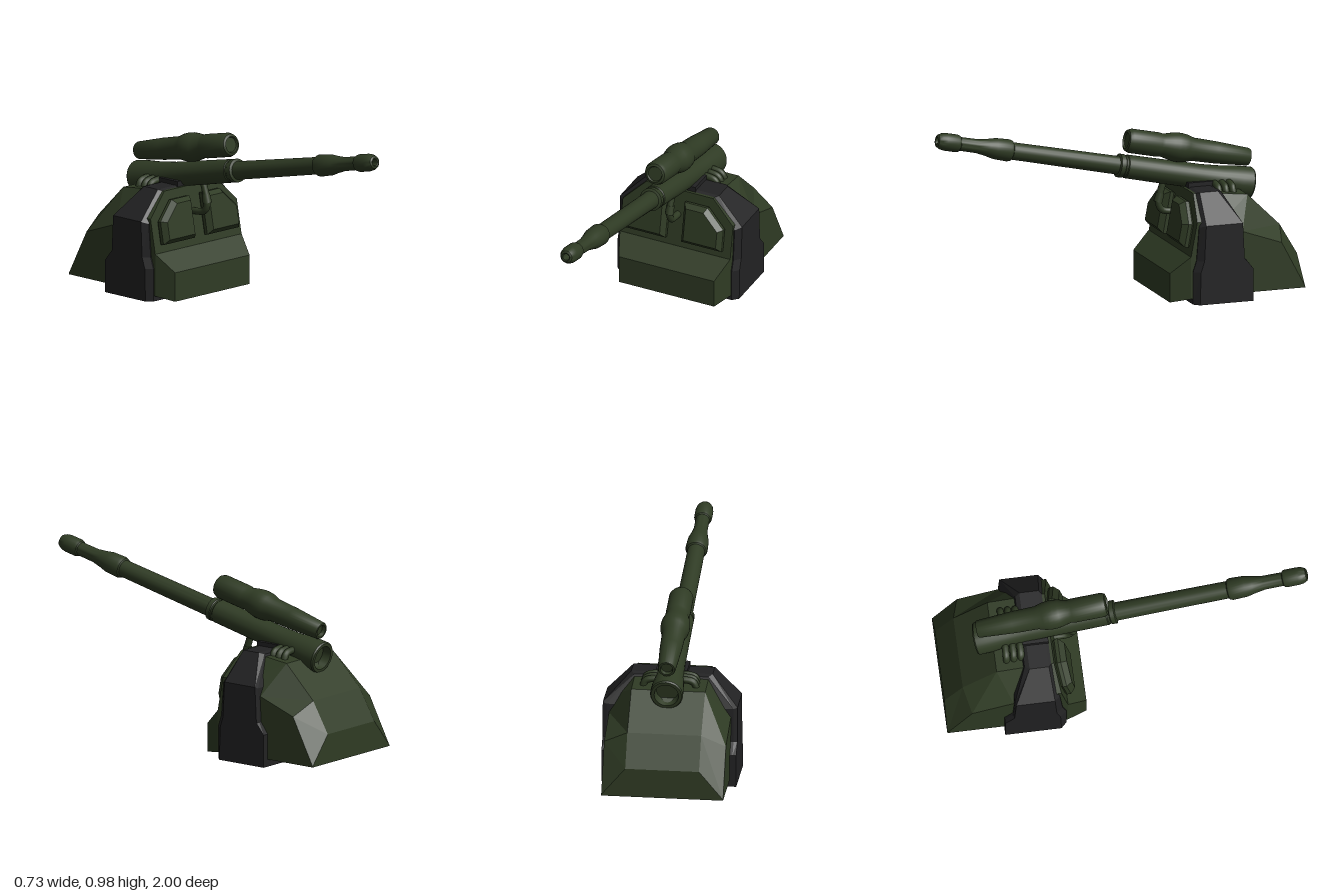
import * as THREE from 'three';
import { toCreasedNormals } from 'three/addons/utils/BufferGeometryUtils.js';

const green = new THREE.MeshStandardMaterial({ color: 0x2f3b24 });
const greenFlat = new THREE.MeshStandardMaterial({ color: 0x2f3b24, flatShading: true });
const dark = new THREE.MeshStandardMaterial({ color: 0x222223, flatShading: true });

// Armour hull: each ring lists [x, y, z] for the +x half from bottom to top and
// is mirrored to -x; rings run from front to back and both ends are capped.
function hull(name, rings, material) {
  const pos = [];
  const quad = (a, b, c, d) => pos.push(...a, ...b, ...c, ...a, ...c, ...d);
  const loops = rings.map(h => [...h, ...h.map(([x, y, z]) => [-x, y, z]).reverse()]);
  const n = loops[0].length;
  for (let r = 0; r < loops.length - 1; r++) {
    const a = loops[r], b = loops[r + 1];
    for (let i = 0; i < n; i++) {
      const j = (i + 1) % n;
      quad(a[i], b[i], b[j], a[j]);
    }
  }
  const f = loops[0], k = loops[loops.length - 1];
  for (let i = 0; i < n / 2 - 1; i++) {
    quad(f[i], f[i + 1], f[n - 2 - i], f[n - 1 - i]);
    quad(k[n - 1 - i], k[n - 2 - i], k[i + 1], k[i]);
  }
  const g = new THREE.BufferGeometry();
  g.setAttribute('position', new THREE.Float32BufferAttribute(pos, 3));
  g.computeVertexNormals();
  return mesh(name, g, material);
}

function mesh(name, geometry, material) {
  const m = new THREE.Mesh(geometry, material);
  m.name = name;
  return m;
}

// Turned part from [radius, distance along the axis] pairs
function turned(name, profile) {
  const g = new THREE.LatheGeometry(profile.map(p => new THREE.Vector2(...p)), 28);
  return mesh(name, toCreasedNormals(g, 0.6), green);
}

function pipe(name, points, radius) {
  const curve = new THREE.CatmullRomCurve3(points.map(p => new THREE.Vector3(...p)));
  return mesh(name, new THREE.TubeGeometry(curve, 20, radius, 12), green);
}

export function createModel() {
  const model = new THREE.Group();
  model.name = 'gunTurret';

  // Sloping front bumper
  model.add(hull('bumper', [
    [[0.285, 0.01, -0.24], [0.285, 0.17, -0.24]],
    [[0.33, 0.03, -0.345], [0.33, 0.262, -0.345]],
    [[0.33, 0.03, -0.42], [0.33, 0.262, -0.42]],
  ], greenFlat));

  // Leaning front plate with clipped upper corners
  model.add(hull('frontPlate', [
    [[0.33, 0.26, -0.345], [0.33, 0.45, -0.381], [0.2, 0.58, -0.405]],
    [[0.33, 0.26, -0.46], [0.33, 0.45, -0.46], [0.2, 0.58, -0.46]],
  ], greenFlat));

  // Raised bevelled panels on the front plate
  const outline = new THREE.Shape([
    [0.07, 0.07], [0.265, 0.07], [0.265, 0.165], [0.175, 0.255], [0.07, 0.255],
  ].map(p => new THREE.Vector2(...p)));
  for (const side of [1, -1]) {
    const panel = mesh('frontPanel', new THREE.ExtrudeGeometry(outline, {
      depth: 0.02, bevelSize: 0.023, bevelThickness: 0.03, bevelSegments: 1,
    }), greenFlat);
    panel.position.set(0, 0.26, -0.335);
    panel.rotation.x = -0.185;
    panel.scale.x = side;
    model.add(panel);
  }

  // Dark band wrapping the middle
  const band = (inset, zs) => [
    [0.365, 0], [0.365, 0.18], [0.365, 0.24], [0.365, 0.435], [0.22, 0.587],
  ].map(([x, y], i) => [x - inset, i > 2 ? y - inset * 0.4 : y, zs[i]]);
  model.add(hull('middleBand', [
    band(0.03, [-0.355, -0.355, -0.375, -0.39, -0.41]),
    band(0, [-0.385, -0.39, -0.41, -0.42, -0.435]),
    band(0, [-0.69, -0.69, -0.64, -0.63, -0.54]),
    band(0.02, [-0.69, -0.69, -0.645, -0.635, -0.565]),
  ], dark));

  // Faceted rear hull
  model.add(hull('rearHull', [
    [[0.33, 0.04, -0.5], [0.33, 0.425, -0.5], [0.2, 0.575, -0.5]],
    [[0.33, 0.04, -0.64], [0.33, 0.38, -0.64], [0.2, 0.55, -0.716]],
    [[0.33, 0.04, -0.865], [0.33, 0.3, -0.865], [0.2, 0.37, -0.9]],
    [[0.33, 0.04, -1], [0.33, 0.045, -1], [0.2, 0.2, -1]],
  ], greenFlat));

  // Cradle under the gun
  const cradle = mesh('cradle', new THREE.BoxGeometry(0.17, 0.07, 0.14), dark);
  cradle.position.set(0, 0.575, -0.49);
  model.add(cradle);

  // Raised gun: local y runs along the barrel from breech to muzzle
  const gun = new THREE.Group();
  gun.name = 'gun';
  gun.position.set(0, 0.557, -0.805);
  gun.rotation.x = Math.PI / 2 - 0.213;
  gun.add(turned('barrel', [
    [0, 0.05], [0.06, 0.05], [0.066, 0], [0.083, 0], [0.089, 0.008], [0.087, 0.07],
    [0.074, 0.18], [0.067, 0.3], [0.064, 0.73], [0.06, 0.735], [0.06, 0.745],
    [0.064, 0.75], [0.064, 0.775], [0.05, 0.78], [0.047, 1.4], [0.055, 1.405],
    [0.06, 1.42], [0.057, 1.5], [0.048, 1.54], [0.038, 1.6], [0.037, 1.705],
    [0.044, 1.71], [0.048, 1.725], [0.048, 1.79], [0.044, 1.815], [0.034, 1.835],
    [0.024, 1.84], [0.018, 1.838], [0.018, 1.78], [0, 1.78],
  ]));
  const scope = turned('upperCylinder', [
    [0, 0.02], [0.03, 0.02], [0.034, 0], [0.044, 0], [0.048, 0.008], [0.06, 0.2],
    [0.063, 0.33], [0.075, 0.37], [0.079, 0.4], [0.079, 0.43], [0.074, 0.46],
    [0.062, 0.51], [0.066, 0.53], [0.066, 0.695], [0.058, 0.715], [0.045, 0.72],
    [0.04, 0.71], [0, 0.71],
  ]);
  scope.position.set(0, 0.04, -0.142);
  gun.add(scope);
  model.add(gun);

  // Three hoses each side, from the gun to the hull roof
  for (const side of [1, -1]) {
    for (const z of [-0.575, -0.615, -0.655]) {
      model.add(pipe('hose', [
        [side * 0.04, 0.59, z], [side * 0.09, 0.592, z],
        [side * 0.13, 0.58, z], [side * 0.15, 0.53, z],
      ], 0.019));
    }
  }

  // Bent feed pipe between barrel and front plate, with a collar
  model.add(pipe('feedPipe', [
    [0, 0.64, -0.32], [0, 0.58, -0.298], [0, 0.5, -0.278],
    [0, 0.455, -0.3], [0, 0.44, -0.39],
  ], 0.019));
  const collar = mesh('feedPipeCollar', new THREE.CylinderGeometry(0.022, 0.025, 0.05, 14), green);
  collar.position.set(0, 0.525, -0.283);
  collar.rotation.x = -0.25;
  model.add(collar);

  return model;
}
